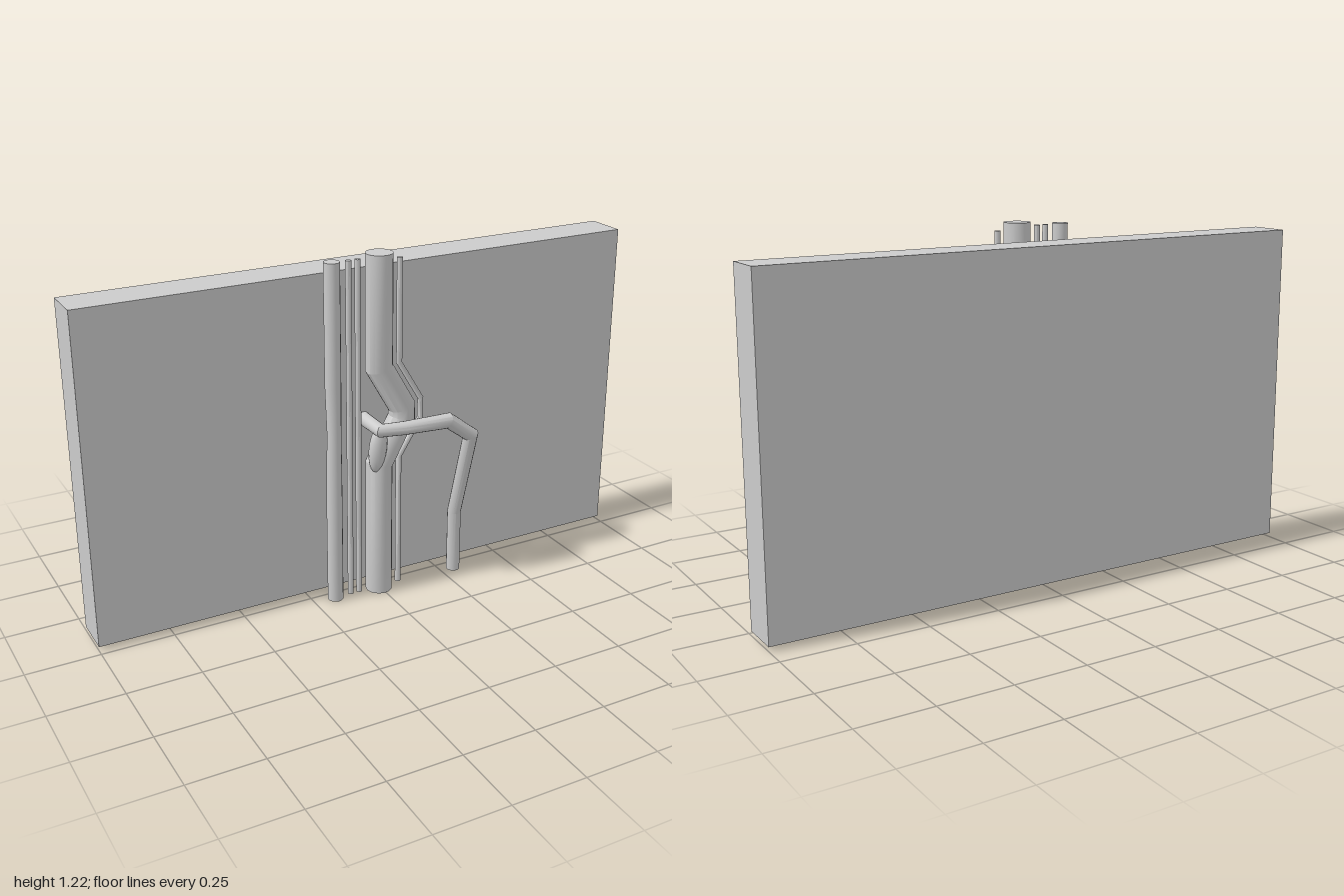
import * as THREE from 'three';
import { toCreasedNormals } from 'three/addons/utils/BufferGeometryUtils.js';

const material = new THREE.MeshStandardMaterial({ color: 0xcccccc });

// Round pipe along straight runs, with mitred joints and closed ends.
// radii: one number, or one per point.
function pipeGeometry(path, radii, sides = 16) {
  const pts = path.map((p) => new THREE.Vector3(...p));
  const last = pts.length - 1;
  const dirs = pts.slice(1).map((p, i) => p.clone().sub(pts[i]).normalize());
  const helper = Math.abs(dirs[0].z) > 0.9 ? new THREE.Vector3(1, 0, 0) : new THREE.Vector3(0, 0, 1);
  const u = helper.clone().addScaledVector(dirs[0], -helper.dot(dirs[0])).normalize();
  const v = dirs[0].clone().cross(u);
  const positions = [];
  const index = [];

  pts.forEach((p, i) => {
    const into = dirs[Math.max(i - 1, 0)];
    const out = dirs[Math.min(i, last - 1)];
    const normal = into.clone().add(out);
    const r = Array.isArray(radii) ? radii[i] : radii;
    for (let j = 0; j < sides; j++) {
      const a = (j / sides) * Math.PI * 2;
      const o = u.clone().multiplyScalar(Math.cos(a) * r).addScaledVector(v, Math.sin(a) * r);
      o.addScaledVector(into, -o.dot(normal) / into.dot(normal)).add(p);
      positions.push(o.x, o.y, o.z);
    }
    // carry the frame round the joint
    const turn = new THREE.Quaternion().setFromUnitVectors(into, out);
    u.applyQuaternion(turn);
    v.applyQuaternion(turn);
  });
  positions.push(...pts[0].toArray(), ...pts[last].toArray());

  const startCentre = pts.length * sides;
  const endRing = last * sides;
  for (let j = 0; j < sides; j++) {
    const k = (j + 1) % sides;
    for (let i = 0; i < last; i++) {
      const a = i * sides + j, b = i * sides + k;
      index.push(a, b, b + sides, a, b + sides, a + sides);
    }
    index.push(startCentre, k, j, startCentre + 1, endRing + j, endRing + k);
  }
  const geometry = new THREE.BufferGeometry();
  geometry.setAttribute('position', new THREE.Float32BufferAttribute(positions, 3));
  geometry.setIndex(index);
  return toCreasedNormals(geometry, 0.45);
}

export function createModel() {
  const group = new THREE.Group();
  const add = (name, geometry) => {
    const mesh = new THREE.Mesh(geometry, material);
    mesh.name = name;
    group.add(mesh);
    return mesh;
  };

  // Wall slab behind the pipes
  add('wall', new THREE.BoxGeometry(2, 1.14, 0.143)).position.set(0, 0.585, -0.0935);

  // Large pipe with a sideways kink
  const z = 0.04;
  add('mainPipe', pipeGeometry([
    [-0.004, 0, z], [-0.004, 0.48, z], [0.082, 0.635, z],
    [0.082, 0.675, z], [-0.004, 0.825, z], [-0.004, 1.215, z],
  ], 0.046));

  // Thin pipe following the kink
  add('bentThinPipe', pipeGeometry([
    [0.072, 0.008, z], [0.072, 0.49, z], [0.155, 0.62, z],
    [0.155, 0.69, z], [0.072, 0.83, z], [0.072, 1.19, z],
  ], 0.01, 12));

  // Left pipe, very slightly uneven around the middle
  add('leftPipe', pipeGeometry([
    [-0.172, 0, 0.036], [-0.172, 0.4, 0.036], [-0.17, 0.62, 0.036],
    [-0.172, 0.78, 0.036], [-0.172, 1.205, 0.036],
  ], [0.027, 0.027, 0.024, 0.027, 0.027]));

  // Two straight thin pipes
  for (const x of [-0.113, -0.08]) {
    add('straightThinPipe', pipeGeometry([[x, 0.004, 0.036], [x, 1.202, 0.036]], 0.01, 12));
  }

  // Branch leaving the wall, crossing the main pipe and dropping to the floor
  add('branchPipe', pipeGeometry([
    [-0.03, 0.627, -0.025], [-0.03, 0.627, 0.102], [0.05, 0.63, 0.125],
    [0.21, 0.629, 0.135], [0.3, 0.56, 0.135], [0.3, 0.23, 0.042], [0.3, 0, 0.042],
  ], [0.024, 0.022, 0.023, 0.026, 0.025, 0.024, 0.024]));

  // Small drooping lobe under the branch
  const lobe = add('lobe', new THREE.SphereGeometry(1, 16, 12));
  lobe.scale.set(0.032, 0.085, 0.025);
  lobe.position.set(-0.024, 0.55, 0.07);
  lobe.rotation.z = -0.12;

  return group;
}
